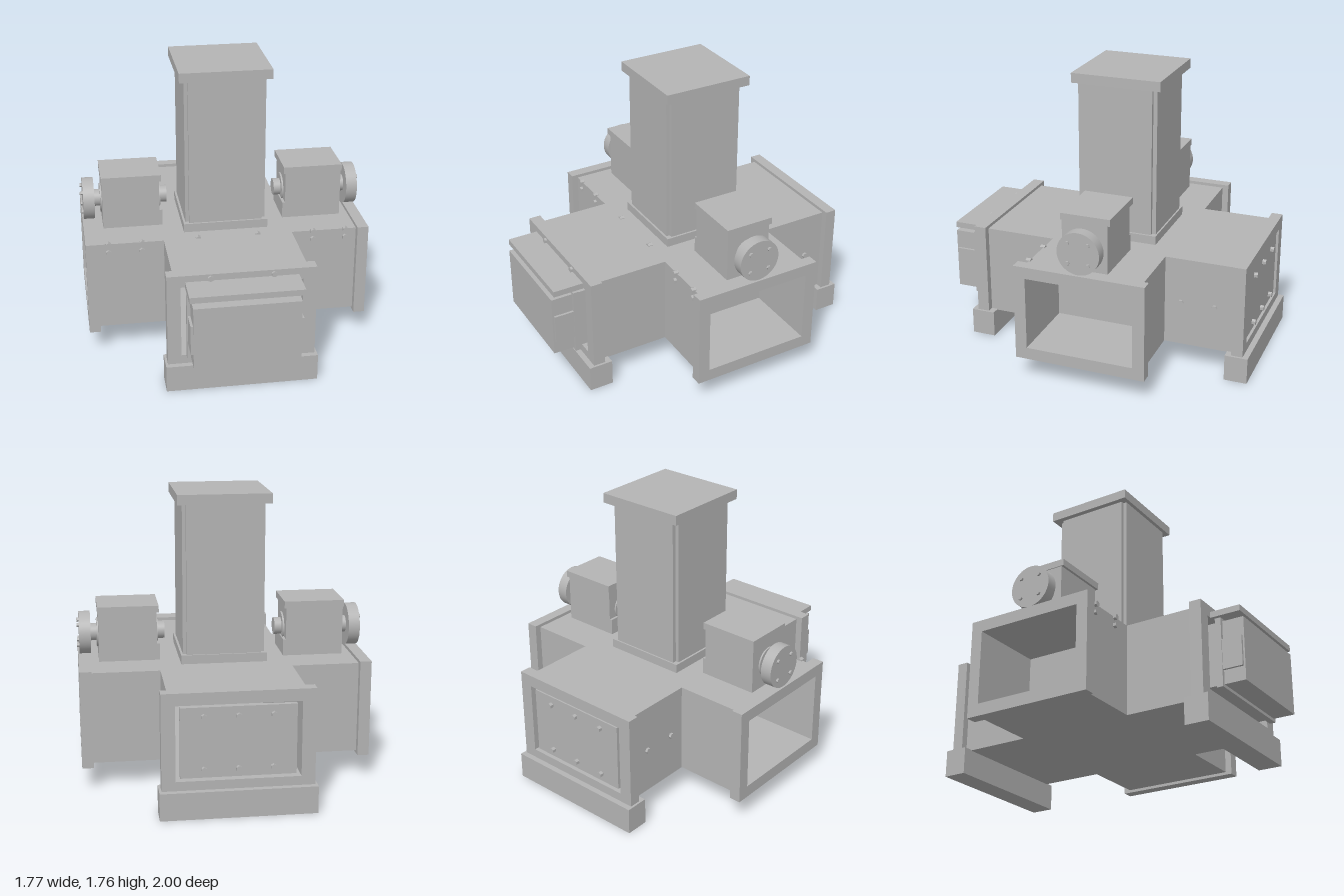
import * as THREE from 'three';

export function createModel() {
  const model = new THREE.Group();
  const grey = new THREE.MeshStandardMaterial({ color: 0xb4b4b4 });
  grey.name = 'plain grey';

  const add = (name, geo, parent = model) => {
    const mesh = new THREE.Mesh(geo, grey);
    mesh.name = name;
    parent.add(mesh);
    return mesh;
  };

  // Box given by its limits on each axis
  const box = (name, x0, x1, y0, y1, z0, z1, parent) => {
    const geo = new THREE.BoxGeometry(x1 - x0, y1 - y0, z1 - z0);
    geo.translate((x0 + x1) / 2, (y0 + y1) / 2, (z0 + z1) / 2);
    return add(name, geo, parent);
  };

  // Cylinder along x or z, centred on a point
  const rod = (name, axis, r, len, x, y, z, sides, parent) => {
    const geo = new THREE.CylinderGeometry(r, r, len, sides);
    if (axis === 'x') geo.rotateZ(Math.PI / 2);
    else geo.rotateX(Math.PI / 2);
    geo.translate(x, y, z);
    return add(name, sides === 6 ? geo.toNonIndexed() : geo, parent);
  };
  const bolt = (axis, x, y, z, parent, r = 0.018) => {
    const mesh = rod('bolt', axis, r, 0.03, x, y, z, 6, parent);
    mesh.geometry.computeVertexNormals();
  };

  // Rectangular frame or duct: outer and inner limits, extruded along z
  const frame = ([a0, a1, b0, b1], [c0, c1, d0, d1], z0, z1) => {
    const shape = new THREE.Shape([[a0, b0], [a1, b0], [a1, b1], [a0, b1]].map(p => new THREE.Vector2(...p)));
    shape.holes.push(new THREE.Path([[c0, d0], [c0, d1], [c1, d1], [c1, d0]].map(p => new THREE.Vector2(...p))));
    const geo = new THREE.ExtrudeGeometry(shape, { depth: z1 - z0, bevelEnabled: false });
    return geo.translate(0, 0, z0);
  };

  // Main duct from front to back, with end flanges
  const mainHole = [-0.362, 0.362, 0.22, 0.672];
  add('mainDuct', frame([-0.4, 0.4, 0.16, 0.725], mainHole, -0.9, 0.725));
  add('frontFlange', frame([-0.443, 0.443, 0.142, 0.745], mainHole, 0.72, 0.795));
  add('backFlange', frame([-0.443, 0.443, 0.142, 0.745], mainHole, -0.965, -0.895));

  // Feet
  box('frontFoot', -0.457, 0.457, 0, 0.165, 0.68, 0.83);
  box('backFoot', -0.457, 0.457, 0, 0.165, -1, -0.858);

  // Back cover plate with six bolts
  box('backCover', -0.335, 0.335, 0.235, 0.655, -0.955, -0.925);
  for (const x of [-0.2, 0, 0.2]) for (const y of [0.285, 0.6]) bolt('z', x, y, -0.963, model);

  // Front drawer with collar, side grips and shelf above
  box('frontDrawer', -0.315, 0.315, 0.25, 0.637, 0.74, 0.995);
  box('drawerCollar', -0.335, 0.335, 0.232, 0.655, 0.825, 0.862);
  box('frontShelf', -0.335, 0.335, 0.668, 0.705, 0.795, 0.985);
  for (const s of [-1, 1]) {
    const a = s * 0.31, b = s * 0.33;
    box('drawerGrip', Math.min(a, b), Math.max(a, b), 0.335, 0.52, 0.86, 0.985);
    bolt('z', s * 0.187, 0.72, 0.795, model);
    bolt('z', s * 0.187, 0.67, 0.795, model);
    bolt('z', s * 0.187, 0.72, 0.265, model);
  }

  // Tower with notched corners, base and cap
  box('towerBase', -0.263, 0.263, 0.72, 0.78, -0.345, 0.18);
  box('towerSidePanels', -0.25, 0.25, 0.78, 1.7, -0.31, 0.145);
  box('towerFacePanels', -0.228, 0.228, 0.78, 1.7, -0.335, 0.167);
  box('towerCap', -0.283, 0.283, 1.7, 1.76, -0.37, 0.19);

  // One side arm on +x; the other is the same part turned about the tower's axis
  const buildSide = sign => {
    const side = new THREE.Group();
    side.name = sign > 0 ? 'leftArm' : 'rightArm';
    const zc = -0.09; // arm axis; local z is measured from it

    // Side duct and open flange
    const hole = [-0.335, 0.335, 0.217, 0.672];
    add('sideDuct', frame([-0.367, 0.367, 0.16, 0.725], hole, 0.4, 0.82).rotateY(Math.PI / 2), side);
    add('sideFlange', frame([-0.408, 0.408, 0.142, 0.745], hole, 0.81, 0.88).rotateY(Math.PI / 2), side);

    // Gear housing with lid and bearing plates
    box('housing', 0.4, 0.755, 0.72, 1.03, -0.137, 0.147, side);
    box('housingLid', 0.388, 0.76, 1.028, 1.07, -0.153, 0.153, side);
    box('innerBracket', 0.383, 0.402, 0.72, 0.828, -0.137, 0.147, side);
    rod('bearing', 'x', 0.09, 0.375, 0.577, 0.88, 0, 32, side);

    // Shaft, coupling disc and its bolts
    rod('shaft', 'x', 0.053, 0.465, 0.5775, 0.88, 0, 32, side);
    rod('couplingDisc', 'x', 0.131, 0.07, 0.837, 0.88, 0, 48, side);
    for (const y of [-0.063, 0.063]) for (const z of [-0.063, 0.063]) bolt('x', 0.87, 0.88 + y, z, side, 0.013);

    side.position.z = zc;
    if (sign < 0) side.rotation.y = Math.PI;
    model.add(side);

    // Bolts along the duct walls
    for (const z of [0.07, -0.135, -0.345, -0.56, -0.77]) bolt('x', sign * 0.4, 0.44, z, model);
    for (const x of [0.535, 0.74]) for (const y of [0.67, 0.722]) bolt('z', sign * x, y, 0.28, model);
  };
  buildSide(1);
  buildSide(-1);

  return model;
}
